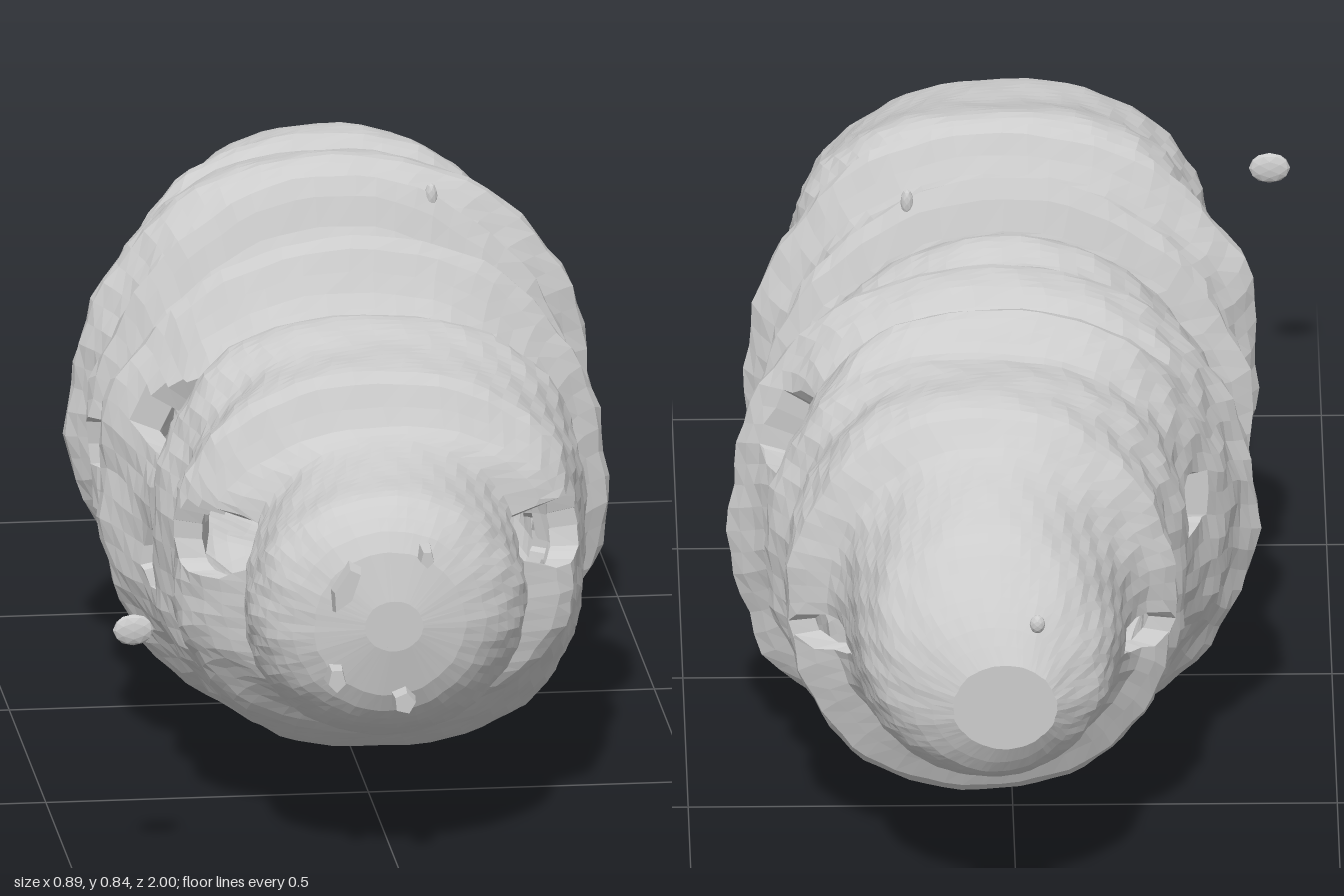
import * as THREE from 'three';

// Cross-sections as [z, bottom, top] and [z, right edge, left edge]
const HEIGHT = [
  [-1, .32, .46], [-.97, .27, .51], [-.92, .24, .57], [-.87, .22, .62], [-.8, .2, .65], [-.7, .18, .69],
  [-.65, .1, .74], [-.6, .12, .75], [-.55, .1, .75], [-.48, .13, .75], [-.4, .1, .8], [-.36, .1, .77],
  [-.32, .07, .8], [-.26, .01, .81], [-.18, .07, .77], [-.1, .09, .79], [-.04, .08, .77], [-.01, .01, .85],
  [.04, .08, .75], [.1, .1, .77], [.2, .07, .76], [.25, .03, .83], [.3, .06, .75], [.35, .09, .7],
  [.4, .1, .74], [.45, .1, .76], [.55, .1, .74], [.65, .15, .73], [.7, .2, .65], [.82, .2, .62],
  [.9, .23, .61], [.95, .27, .57], [.975, .32, .52], [.985, .38, .46],
];
const WIDTH = [
  [-1, -.06, .1], [-.97, -.09, .16], [-.93, -.13, .21], [-.87, -.15, .24], [-.75, -.17, .26], [-.7, -.2, .28],
  [-.66, -.25, .35], [-.6, -.24, .35], [-.54, -.27, .34], [-.48, -.27, .38], [-.4, -.3, .35], [-.36, -.33, .36],
  [-.3, -.35, .4], [-.26, -.38, .44], [-.22, -.35, .38], [-.15, -.32, .34], [-.05, -.33, .35], [-.02, -.38, .39],
  [.02, -.34, .35], [.1, -.31, .33], [.2, -.36, .36], [.24, -.39, .4], [.28, -.36, .35], [.32, -.33, .32],
  [.4, -.31, .3], [.48, -.33, .34], [.55, -.3, .33], [.65, -.33, .32], [.7, -.29, .31], [.73, -.22, .22],
  [.8, -.23, .21], [.87, -.23, .2], [.92, -.21, .17], [.96, -.16, .12], [.975, -.12, .08], [.985, -.06, .03],
];
// Side openings: z, y, half length, half height, side (0 = both)
const HOLES = [
  [.69, .48, .05, .055, 0], [.36, .57, .075, .06, 0], [.38, .35, .065, .055, 0], [0, .44, .03, .035, 0],
  [-.34, .57, .045, .07, 1], [-.43, .49, .04, .045, 0], [-.7, .385, .04, .03, 0],
];
// Hollows and swellings: as above, then change of radius
const DENTS = [
  [-.36, .26, .06, .09, 1, -.09], [.69, .46, .09, .1, 0, -.06], [.24, .56, .05, .06, -1, .05],
  [-.26, .17, .05, .06, 1, .05], [-.36, .55, .07, .1, 1, -.03],
];
const Z0 = -1, Z1 = .985;

// Smooth value of one column, level at every local peak and dip
function curve(table, col, z) {
  let k = 0;
  while (k < table.length - 2 && table[k + 1][0] < z) k++;
  const slope = i => (table[i + 1][col] - table[i][col]) / (table[i + 1][0] - table[i][0]);
  const tangent = i => {
    if (i === 0) return slope(0);
    if (i === table.length - 1) return slope(i - 1);
    const a = slope(i - 1), b = slope(i);
    return a * b <= 0 ? 0 : 2 * a * b / (a + b);
  };
  const h = table[k + 1][0] - table[k][0];
  const t = THREE.MathUtils.clamp((z - table[k][0]) / h, 0, 1), u = 1 - t;
  return table[k][col] * u * u * (1 + 2 * t) + table[k + 1][col] * t * t * (3 - 2 * t)
    + h * t * u * (u * tangent(k) - t * tangent(k + 1));
}

function span(table, z) {
  const lo = curve(table, 1, z), hi = curve(table, 2, z);
  return [(lo + hi) / 2, (hi - lo) / 2];
}

// Rings beside the middle are squarer than the ends
const bell = (z, c) => Math.exp(-(((z - c) / .2) ** 2));
const exponent = z => 1 - .22 * bell(z, .48) - .15 * bell(z, -.48);
const power = (v, e) => Math.sign(v) * Math.abs(v) ** e;

function heightAt(z, a) {
  const [cy, ry] = span(HEIGHT, z);
  return cy + ry * power(Math.sin(a), exponent(z));
}

const reach = (h, z, y) => Math.hypot((z - h[0]) / h[2], (y - h[1]) / h[3]);
const onSide = (h, x) => h[4] === 0 || h[4] * x > 0;
const holeAt = (z, a) => HOLES.find(h => onSide(h, Math.cos(a)) && reach(h, z, heightAt(z, a)) < 1);

// Uneven surface, rougher on the flanks
function relief(z, a) {
  const x = Math.cos(a), y = heightAt(z, a);
  let k = 1 + (.003 + .006 * x * x) * (Math.sin(5 * a + 9 * z) + Math.sin(11 * a - 37 * z) + Math.sin(23 * a + 61 * z));
  for (const d of DENTS)
    if (onSide(d, x)) k += d[5] * Math.abs(x) * Math.exp(-(reach(d, z, y) ** 2));
  return k;
}

function shellPoint(z, a, scale) {
  const h = holeAt(z, a);
  // Points inside an opening slide out to its edge
  if (h) {
    let y = heightAt(z, a);
    const d = Math.max(.05, reach(h, z, y));
    z = h[0] + (z - h[0]) / d;
    y = h[1] + (y - h[1]) / d;
    const [cy, ry] = span(HEIGHT, z);
    const s = Math.asin(power(THREE.MathUtils.clamp((y - cy) / ry, -1, 1), 1 / exponent(z)));
    a = Math.cos(a) > 0 ? s : Math.PI - s;
  }
  const [cx, rx] = span(WIDTH, z), [cy] = span(HEIGHT, z);
  const k = scale * relief(z, a);
  return [cx + rx * k * power(Math.cos(a), exponent(z)), Math.max(0, cy + k * (heightAt(z, a) - cy)), z];
}

function shellGeometry() {
  const N = 130, M = 72, pos = [], idx = [];
  const zAt = i => Z0 + (Z1 - Z0) * i / N, aAt = j => (j / M) * Math.PI * 2;
  // Outer layer first, then inner layer
  for (const scale of [1, .86])
    for (let i = 0; i <= N; i++)
      for (let j = 0; j < M; j++) pos.push(...shellPoint(zAt(i), aAt(j), scale));
  const inner = (N + 1) * M;
  const v = (i, j) => i * M + ((j + M) % M);
  const quad = (a, b, c, d) => idx.push(a, b, c, a, c, d);
  const open = (i, j) => i >= 0 && i < N && !!holeAt(zAt(i + .5), aAt(j + .5));
  const rim = (a, b) => quad(a, b, b + inner, a + inner);
  for (let i = 0; i < N; i++) {
    for (let j = 0; j < M; j++) {
      const a = v(i, j), b = v(i, j + 1), c = v(i + 1, j + 1), d = v(i + 1, j);
      if (!open(i, j)) {
        quad(a, b, c, d);
        quad(d + inner, c + inner, b + inner, a + inner);
        continue;
      }
      // Walls through the shell around each opening
      if (!open(i - 1, j)) rim(a, b);
      if (!open(i + 1, j)) rim(c, d);
      if (!open(i, j - 1)) rim(d, a);
      if (!open(i, j + 1)) rim(b, c);
    }
  }
  // End caps
  for (const [i, front] of [[0, false], [N, true]]) {
    const centre = pos.length / 3;
    pos.push(span(WIDTH, zAt(i))[0], span(HEIGHT, zAt(i))[0], zAt(i));
    for (let j = 0; j < M; j++) {
      if (front) idx.push(centre, v(i, j), v(i, j + 1));
      else idx.push(centre, v(i, j + 1), v(i, j));
    }
  }
  const g = new THREE.BufferGeometry();
  g.setAttribute('position', new THREE.Float32BufferAttribute(pos, 3));
  g.setIndex(idx);
  const flat = g.toNonIndexed();
  flat.computeVertexNormals();
  return flat;
}

export function createModel() {
  const group = new THREE.Group();
  group.name = 'ribbedCocoon';
  const material = new THREE.MeshStandardMaterial({ color: 0xcccccc, flatShading: true, side: THREE.DoubleSide });
  const add = (name, geometry, x = 0, y = 0, z = 0, sx = 1, sy = 1, sz = 1, tilt = 0) => {
    const m = new THREE.Mesh(geometry, material);
    m.name = name;
    m.position.set(x, y, z);
    m.scale.set(sx, sy, sz);
    m.rotation.z = tilt;
    group.add(m);
  };

  add('ribbedShell', shellGeometry());

  // Loose fragments and small knobs
  const pebble = new THREE.IcosahedronGeometry(1, 1);
  add('looseFragment', pebble, -.42, .43, .99, .032, .025, .01);
  add('rearCrumb', pebble, -.03, .525, -.99, .012, .015, .01);
  add('topKnob', pebble, .155, .81, -.01, .01, .022, .01);

  // Ragged bits on the face
  const chip = new THREE.CylinderGeometry(.7, 1, 2, 5);
  chip.rotateX(Math.PI / 2);
  add('faceRidge', chip, -.09, .485, .965, .022, .055, .035, -.45);
  add('faceKnob', chip, .035, .53, .97, .015, .02, .03);
  add('faceNub', chip, -.105, .34, .965, .02, .028, .035);
  add('faceNub', chip, 0, .3, .965, .024, .025, .035, .4);
  return group;
}
